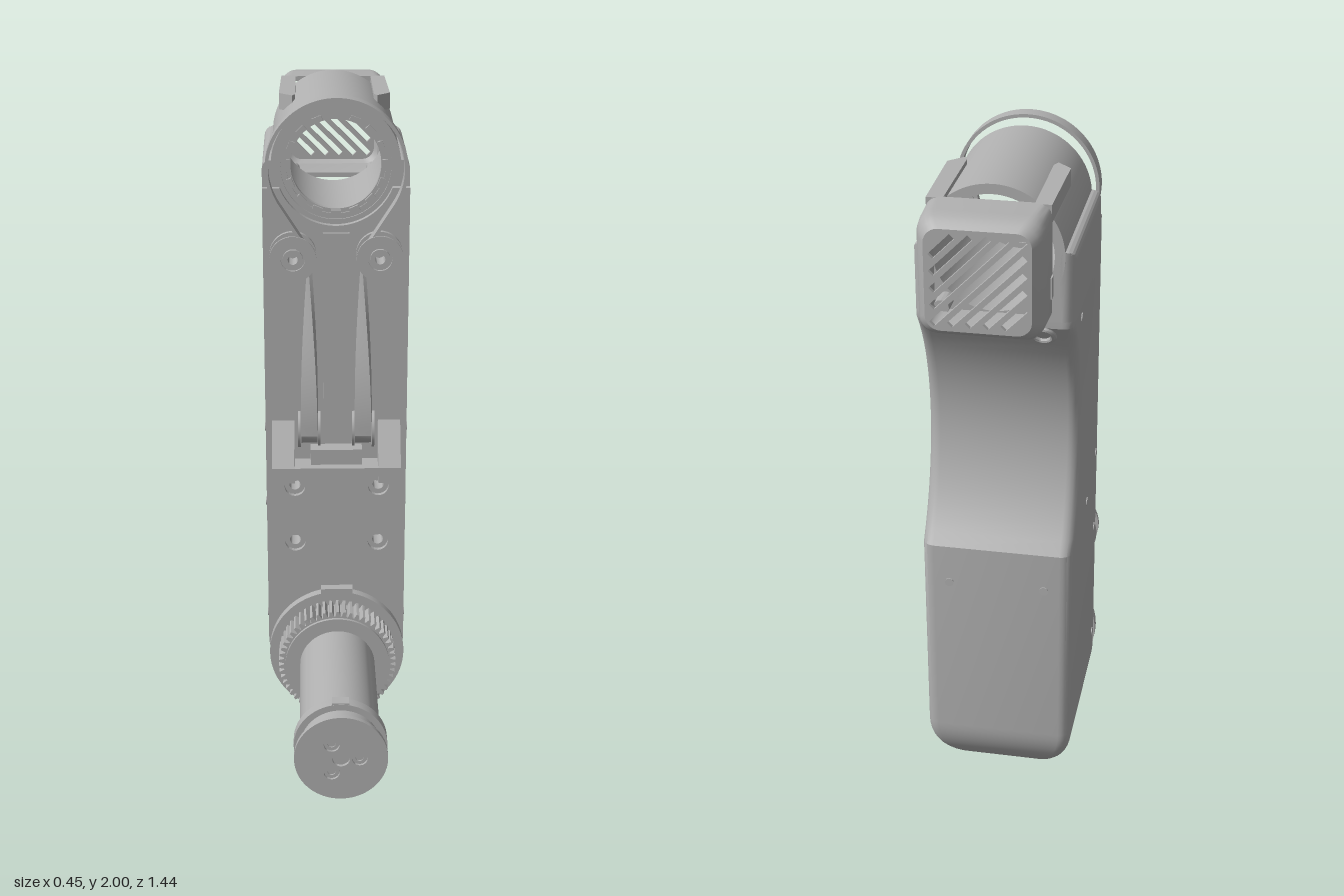
import * as THREE from 'three';
import { toCreasedNormals } from 'three/addons/utils/BufferGeometryUtils.js';

export function createModel() {
  const model = new THREE.Group();
  const grey = new THREE.MeshStandardMaterial({ color: 0xb0b0b0, side: THREE.DoubleSide });
  grey.name = 'grey';
  const { PI, sin, cos, sqrt, min, max, abs, sign } = Math;

  function add(name, geo, x = 0, y = 0, z = 0) {
    const mesh = new THREE.Mesh(toCreasedNormals(geo, 0.55), grey);
    mesh.name = name;
    mesh.position.set(x, y, z);
    model.add(mesh);
    return mesh;
  }
  const box = (name, w, h, d, x, y, z) => add(name, new THREE.BoxGeometry(w, h, d), x, y, z);
  const poly = (pts) => new THREE.Shape(pts.map(([x, y]) => new THREE.Vector2(x, y)));
  const circle = (Type, r, x = 0, y = 0) => new Type().absarc(x, y, r, 0, PI * 2, false);
  // Extrudes an x-y outline from z0 (back) to z1 (front)
  const extrude = (shape, z0, z1, steps = 1) => new THREE.ExtrudeGeometry(shape,
    { depth: z1 - z0, bevelEnabled: false, curveSegments: 40, steps }).translate(0, 0, z0);
  // Flat ring or drilled disc facing +z
  function ring(name, R, r, z0, z1, x, y) {
    const s = circle(THREE.Shape, R);
    if (r) s.holes.push(circle(THREE.Path, r));
    return add(name, extrude(s, z0, z1), x, y, 0);
  }
  // Skin over equal-length closed cross-sections
  function loft(rings) {
    const pos = [], idx = [], n = rings[0].length;
    rings.forEach((r) => r.forEach((p) => pos.push(...p)));
    for (let j = 0; j < rings.length - 1; j++) for (let i = 0; i < n; i++) {
      const a = j * n + i, b = j * n + (i + 1) % n;
      idx.push(a, b, b + n, a, b + n, a + n);
    }
    const g = new THREE.BufferGeometry();
    g.setAttribute('position', new THREE.Float32BufferAttribute(pos, 3));
    g.setIndex(idx);
    return g;
  }

  // Housing: rectangular sections with rounded rear corners, round foot, concave back
  const levels = [];
  for (let k = 0; k <= 16; k++) levels.push(0.22 - 0.22 * cos(k / 16 * PI / 2));
  for (let k = 0; k <= 20; k++) levels.push(0.86 + 0.72 * k / 20);
  levels.push(1.6);
  add('housing', loft(levels.map((y) => {
    const s = y < 0.22 ? sqrt(max(0, 1 - ((0.22 - y) / 0.22) ** 2)) : 1;
    const w = 0.22 * s, r = min(0.035, w);
    let zb = -0.28 - 0.24 * s;
    if (y > 0.86 && y < 1.58) zb = -0.953 + sqrt(0.563 ** 2 - (y - 1.22) ** 2);
    const pts = [[w, y, -0.02]];
    for (let q = 0; q < 2; q++) for (let k = 0; k <= 5; k++) {
      const a = (q + k / 5) * PI / 2;
      pts.push([(q ? -1 : 1) * (w - r) + r * cos(a), y, zb + r - r * sin(a)]);
    }
    pts.push([-w, y, -0.02]);
    return pts;
  })));

  // Shoulders that cradle the barrel, rear edges rounded
  const CY = 1.785;
  const saddle = poly([[-0.22, 1.6], [0.22, 1.6], [0.22, 1.77]]);
  saddle.quadraticCurveTo(0.22, 1.8, 0.19, 1.8);
  saddle.absarc(0, CY, 0.18, 0, PI, true);
  saddle.lineTo(-0.19, 1.8);
  saddle.quadraticCurveTo(-0.22, 1.8, -0.22, 1.77);
  const saddleGeo = extrude(saddle, 0, 6, 6), sp = saddleGeo.attributes.position;
  for (let i = 0; i < sp.count; i++) {
    const k = Math.round(sp.getZ(i)), a = min(k, 5) / 5 * PI / 2, x = sp.getX(i);
    sp.setX(i, sign(x) * min(abs(x), 0.185 + 0.035 * sin(a)));
    sp.setZ(i, k === 6 ? -0.04 : -0.485 - 0.035 * cos(a));
  }
  add('shoulders', saddleGeo);
  const lip = poly([[-0.22, 1.6], [0.22, 1.6], [0.22, 1.72]]);
  lip.absarc(0, CY, 0.18, -0.37, PI + 0.37, true);
  lip.lineTo(-0.22, 1.72);
  add('frontLip', extrude(lip, -0.04, -0.02));

  // Open barrel and its bearing
  ring('barrel', 0.193, 0.165, -0.52, -0.04, 0, CY);
  ring('bearingRace', 0.168, 0.148, -0.075, -0.045, 0, CY);
  ring('bearingRim', 0.15, 0.135, -0.07, -0.05, 0, CY);
  for (let i = 0; i < 16; i++) {
    const a = i / 16 * PI * 2;
    box('bearingBlock', 0.016, 0.03, 0.03, 0.146 * cos(a), CY + 0.146 * sin(a), -0.055).rotation.z = a;
  }

  // Hollow rear cap with a diagonal grille
  function squarePts(h, r, z) {
    const pts = [];
    for (let q = 0; q < 4; q++) for (let k = 0; k <= 6; k++) {
      const a = (q + k / 6) * PI / 2, sx = q === 0 || q === 3 ? 1 : -1, sy = q < 2 ? 1 : -1;
      pts.push([sx * (h - r) + r * cos(a), CY + sy * (h - r) + r * sin(a), z]);
    }
    return pts;
  }
  add('capShell', loft([[0.14, 0.04, -0.72], [0.154, 0.045, -0.705], [0.163, 0.045, -0.685], [0.165, 0.04, -0.65],
    [0.165, 0.03, -0.56], [0.15, 0.03, -0.56], [0.15, 0.03, -0.69]].map((v) => squarePts(...v))));
  const grille = poly(squarePts(0.14, 0.04, 0));
  for (let i = -4; i <= 4; i++) {
    const c = i * 0.033, L = 0.122 * Math.SQRT2 - abs(c);
    const pt = (u, v) => new THREE.Vector2((u + v) * Math.SQRT1_2, CY + (v - u) * Math.SQRT1_2);
    grille.holes.push(new THREE.Path([pt(-L, c - 0.009), pt(L, c - 0.009), pt(L, c + 0.009), pt(-L, c + 0.009)]));
  }
  add('grille', extrude(grille, -0.72, -0.708));

  for (const s of [-1, 1]) {
    // Cap arms along the barrel, and lower pegs
    const arm = poly([[s * 0.12, 0.57], [s * 0.165, 0.57], [s * 0.17, 0.29], [s * 0.13, 0.25], [s * 0.12, 0.27]]);
    add('capArm', extrude(arm, 1.9, 1.95).rotateX(-PI / 2).scale(1, 1, 1));
    add('capPeg', new THREE.CylinderGeometry(0.022, 0.022, 0.08, 16).rotateX(PI / 2), s * 0.13, 1.645, -0.54);
    box('capLatch', 0.006, 0.06, 0.025, s * 0.166, 1.725, -0.575);

    // Guide pulleys with screw heads
    const px = s * 0.13, py = 1.52;
    ring('pulleyRearFlange', 0.07, 0.015, -0.02, -0.005, px, py);
    ring('pulleyHub', 0.045, 0.015, -0.005, 0.038, px, py);
    ring('pulleyFrontFlange', 0.07, 0.036, 0.038, 0.046, px, py);
    ring('pulleyScrew', 0.03, 0.015, 0.036, 0.048, px, py);

    // Belt strand, twisting a quarter turn on its way down
    const strand = [];
    for (let k = 0; k <= 20; k++) {
      const t = k / 20, a = t * PI / 2, y = 1.52 - 0.58 * t, cx = s * (0.08 + 0.004 * t), cz = 0.018 - 0.008 * t;
      const ux = sin(a) * 0.026, uz = cos(a) * 0.024, nx = cos(a) * 0.005, nz = -sin(a) * 0.005;
      strand.push([[1, 1], [-1, 1], [-1, -1], [1, -1]].map(([u, n]) => [cx + u * ux + n * nx, y, cz + u * uz + n * nz]));
    }
    add('beltStrand', loft(strand));

    // Lower idlers
    const idler = (r, w, x) => add('idler', new THREE.CylinderGeometry(r, r, w, 32).rotateZ(PI / 2), x, 0.95, -0.05);
    idler(0.055, 0.05, s * 0.084);
    for (const o of [-1, 1]) idler(0.068, 0.008, s * 0.084 + o * 0.031);

    // Horns beside the idlers: side profile extruded across x
    const horn = poly([[0.03, 0.8], [0.03, 0.98], [0.02, 0.98], [-0.06, 0.85], [-0.06, 0.8]]);
    add('horn', extrude(horn, 0, 0.07).rotateY(PI / 2), s > 0 ? 0.13 : -0.2);

    // Small fasteners on the sides and back
    for (const [z, y] of [[-0.39, 1.56], [-0.045, 0.95], [-0.225, 0.88], [-0.055, 0.69], [-0.055, 0.29]])
      add('sidePin', new THREE.CylinderGeometry(0.013, 0.013, 0.006, 16).rotateZ(PI / 2), s * 0.22, y, z);
    ring('backPin', 0.013, 0, -0.523, -0.51, s * 0.14, 0.74);
  }
  add('cableGrommet', new THREE.TorusGeometry(0.03, 0.009, 10, 24).rotateX(-0.6), -0.13, 1.55, -0.5);
  box('centreRail', 0.08, 0.66, 0.014, 0, 1.255, -0.014);
  box('idlerBridge', 0.16, 0.06, 0.06, 0, 0.87, 0);

  // Upper belt loop: over the top, then reversing around the pulleys
  const T = 0.569;
  function beltEdge(o) {
    const pts = [];
    const arc = (x, y, r, a0, a1, n) => {
      for (let k = 0; k <= n; k++) pts.push([x + r * cos(a0 + (a1 - a0) * k / n), y + r * sin(a0 + (a1 - a0) * k / n)]);
    };
    arc(0.13, 1.52, 0.05 - o, PI, PI - T, 6);
    arc(0, 1.79, 0.205 + o, -T, PI + T, 60);
    arc(-0.13, 1.52, 0.05 - o, T, 0, 6);
    return pts;
  }
  add('beltLoop', extrude(poly([...beltEdge(0.005), ...beltEdge(-0.005).reverse()]), -0.006, 0.042));

  // Front base block with counterbored screws
  const base = poly([[0.2, 0.22], [0.2, 0.85], [-0.2, 0.85], [-0.2, 0.22]]);
  base.absarc(0, 0.22, 0.2, PI, PI * 2, false);
  const screws = [[-0.13, 0.79], [0.13, 0.79], [-0.13, 0.6], [0.13, 0.6]];
  for (const [x, y] of screws) {
    base.holes.push(circle(THREE.Path, 0.032, x, y));
    ring('baseScrew', 0.032, 0.017, -0.02, 0.045, x, y);
  }
  add('baseBlock', extrude(base, -0.02, 0.06));
  const foot = new THREE.Shape().absarc(0, 0.22, 0.216, PI + 0.19, PI * 2 - 0.19, false);
  add('baseFoot', extrude(foot, -0.02, 0.06));

  // Gear on its round seat
  ring('gearSeat', 0.215, 0, 0.06, 0.09, 0, 0.22);
  box('gearSeatTab', 0.1, 0.03, 0.03, 0, 0.43, 0.075);
  const teeth = [];
  for (let i = 0; i < 54; i++) for (const [f, r] of [[0, 0.17], [0.25, 0.186], [0.6, 0.186], [0.8, 0.17]])
    teeth.push([r * cos((i + f) / 54 * PI * 2), r * sin((i + f) / 54 * PI * 2)]);
  add('gear', extrude(poly(teeth), 0.09, 0.17), 0, 0.22);
  ring('gearFace', 0.165, 0, 0.17, 0.18, 0, 0.22);

  // Handle tube with a scooped notch underneath
  const tube = new THREE.CylinderGeometry(0.118, 0.118, 0.54, 64, 60).rotateX(PI / 2).translate(0, 0.225, 0.44);
  const tp = tube.attributes.position;
  for (let i = 0; i < tp.count; i++) {
    const q = 0.055 ** 2 - (tp.getZ(i) - 0.31) ** 2;
    if (q > 0) tp.setY(i, max(tp.getY(i), 0.075 + sqrt(q)));
  }
  add('handleTube', tube);
  ring('handleCollar', 0.137, 0.1, 0.615, 0.65, 0, 0.225);
  box('collarKey', 0.05, 0.012, 0.035, 0, 0.36, 0.632);
  const cap = circle(THREE.Shape, 0.136);
  cap.holes.push(circle(THREE.Path, 0.026));
  for (let i = 0; i < 3; i++) {
    const a = i * PI * 2 / 3, x = 0.054 * cos(a), y = 0.054 * sin(a);
    cap.holes.push(circle(THREE.Path, 0.023, x, y));
    ring('handleScrew', 0.022, 0.012, 0.705, 0.714, x, 0.225 + y);
  }
  add('handleEnd', extrude(cap, 0.705, 0.72), 0, 0.225);
  return model;
}
